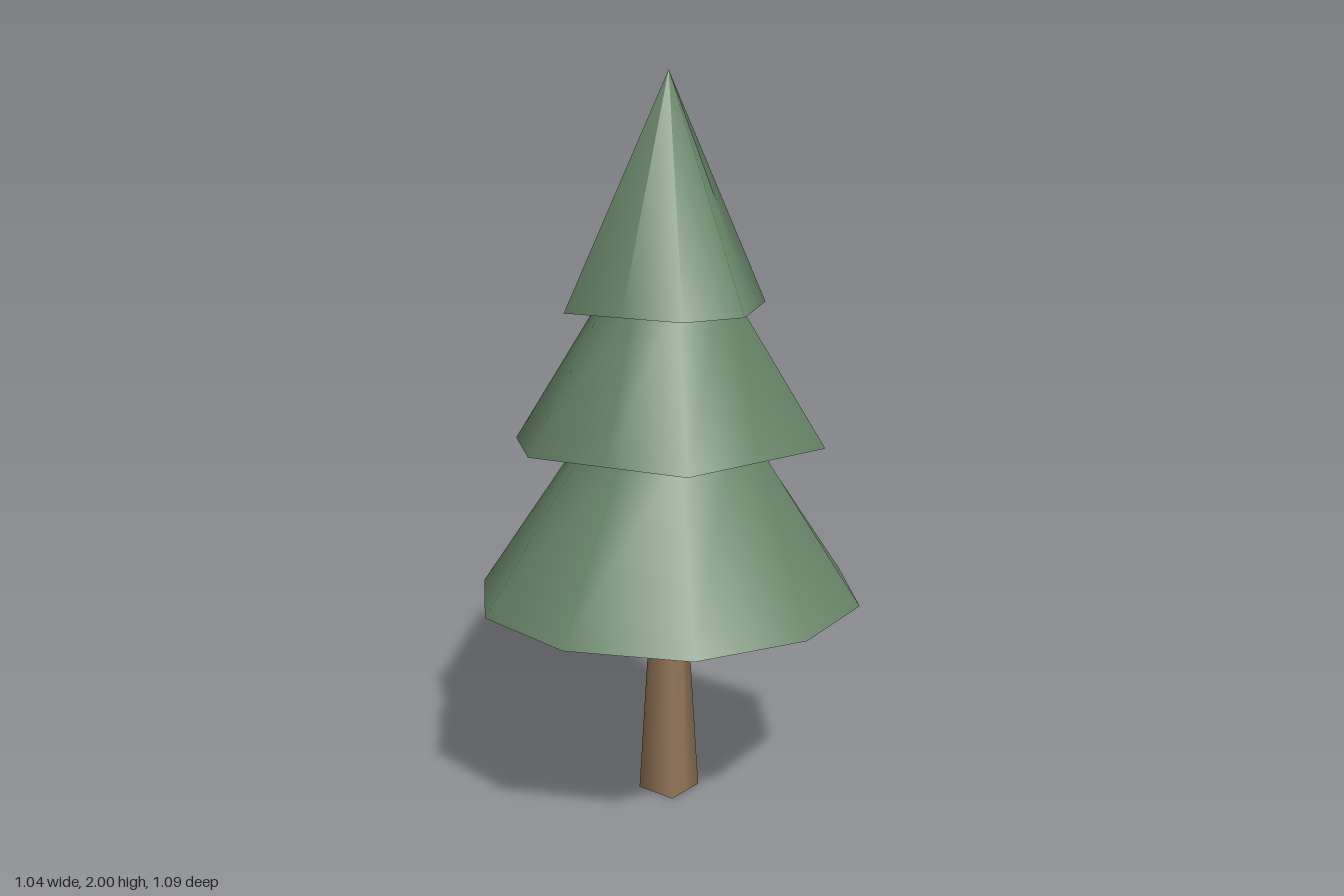
import * as THREE from 'three';

const green = new THREE.MeshStandardMaterial({ color: 0x688568 });
green.name = 'needle green';
const brown = new THREE.MeshStandardMaterial({ color: 0x937558 });
brown.name = 'bark brown';

// Replace each 0 in a list of radii by the point on the straight edge between its neighbours.
function fillRim(radii) {
  const n = radii.length;
  const step = (Math.PI * 2) / n;
  return radii.map((r, i) => {
    if (r) return r;
    const a = radii[(i + n - 1) % n], b = radii[(i + 1) % n];
    return (2 * a * b * Math.cos(step)) / (a + b);
  });
}

// Tapered body: irregular lower rim, regular upper ring, smooth sides and a flat underside.
function taper(name, material, radii, y0, y1, topRadius, tilt = [0, 0]) {
  const n = radii.length;
  const rim = fillRim(radii);
  const mean = rim.reduce((s, r) => s + r, 0) / n;
  const slope = (mean - topRadius) / (y1 - y0);
  const pos = [], nor = [], idx = [];
  const bottom = [];

  for (let i = 0; i < n; i++) {
    const a = (i / n) * Math.PI * 2;
    const dx = Math.sin(a), dz = -Math.cos(a);
    const x = dx * rim[i], z = dz * rim[i];
    const p = [x, y0 + tilt[0] * x + tilt[1] * z, z];
    const normal = new THREE.Vector3(dx, slope, dz).normalize().toArray();
    bottom.push(p);
    pos.push(...p, dx * topRadius, y1, dz * topRadius);
    nor.push(...normal, ...normal);
    // side panel
    const b = i * 2, c = ((i + 1) % n) * 2;
    idx.push(c, b, b + 1);
    if (topRadius > 0) idx.push(c, b + 1, c + 1);
  }

  // underside fan
  const first = pos.length / 3;
  for (const p of [[0, y0, 0], ...bottom]) {
    pos.push(...p);
    nor.push(0, -1, 0);
  }
  for (let i = 0; i < n; i++) idx.push(first, first + 1 + i, first + 1 + ((i + 1) % n));

  const geometry = new THREE.BufferGeometry();
  geometry.setAttribute('position', new THREE.Float32BufferAttribute(pos, 3));
  geometry.setAttribute('normal', new THREE.Float32BufferAttribute(nor, 3));
  geometry.setIndex(idx);
  const mesh = new THREE.Mesh(geometry, material);
  mesh.name = name;
  mesh.position.set(-0.006, 0, 0.003);
  return mesh;
}

export function createModel() {
  const tree = new THREE.Group();
  tree.name = 'pineTree';
  tree.add(
    // trunk: square foot turning into a round stem
    taper('trunk', brown, [0.085, 0, 0.085, 0, 0.085, 0, 0.085, 0], 0, 0.6, 0.048),
    // three tiers of branches with uneven rims
    taper('lowerBranches', green,
      [0.545, 0.515, 0.555, 0.531, 0.52, 0.54, 0.535, 0.535, 0.54, 0], 0.583, 1.03, 0.238, [-0.008, 0.008]),
    taper('middleBranches', green,
      [0.407, 0.422, 0, 0.427, 0, 0.407, 0, 0.405, 0.434, 0.405], 1.013, 1.42, 0.177, [0.006, 0.008]),
    taper('topBranches', green,
      [0.298, 0, 0.293, 0, 0.285, 0.307, 0, 0.299, 0, 0.293], 1.385, 2, 0),
  );
  return tree;
}
